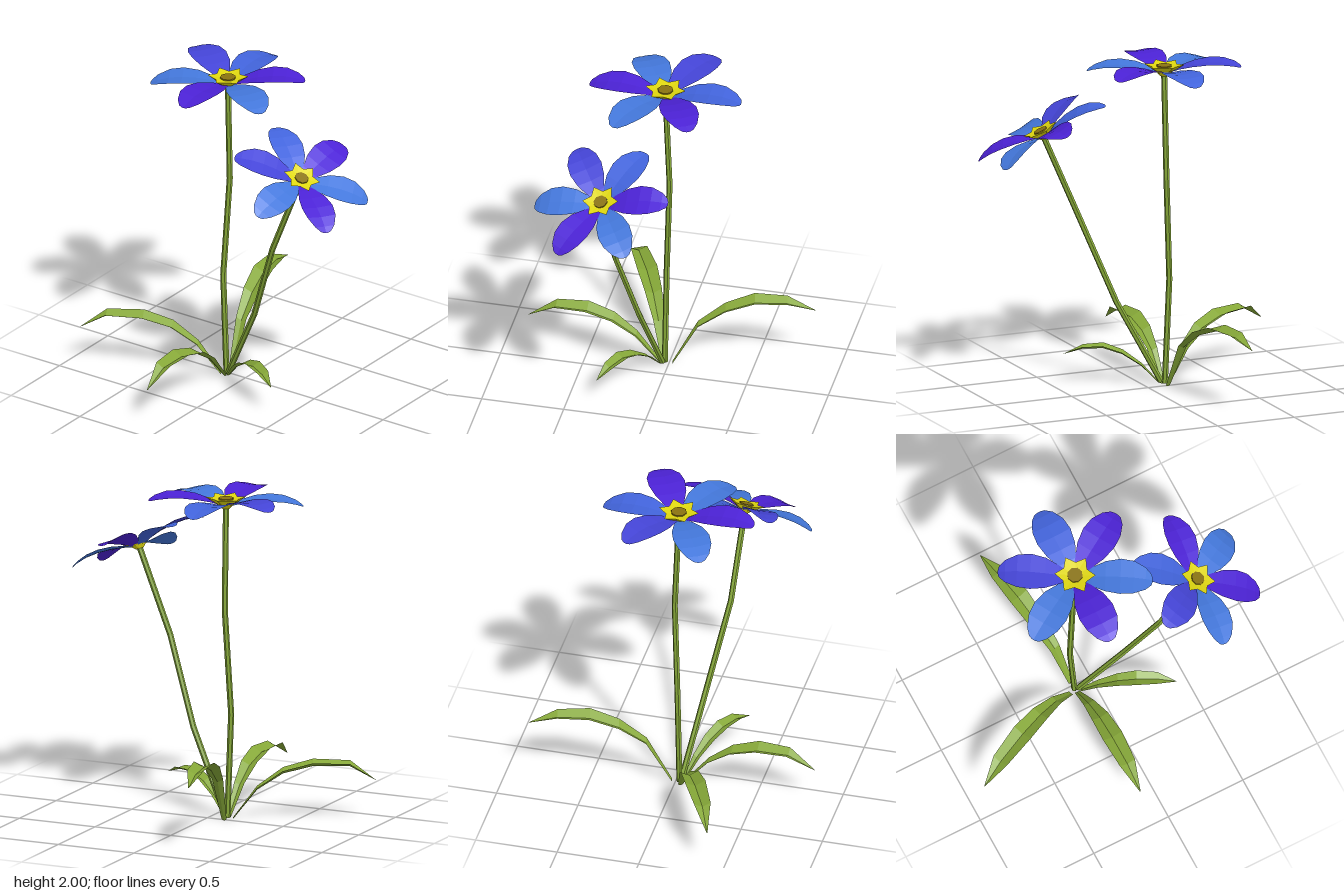
import * as THREE from 'three';

const V = (a) => new THREE.Vector3(...a);

function paint(name, color) {
  const m = new THREE.MeshStandardMaterial({ color, flatShading: true, side: THREE.DoubleSide });
  m.name = name;
  return m;
}

function add(parent, name, geometry, material) {
  const mesh = new THREE.Mesh(geometry, material);
  mesh.name = name;
  parent.add(mesh);
  return mesh;
}

// Surface through rows of points, each row with the same number of points
function loft(rows, closed = false) {
  const n = rows[0].length;
  const index = [];
  for (let i = 0; i < rows.length - 1; i++) {
    for (let j = 0; j < (closed ? n : n - 1); j++) {
      const k = (j + 1) % n;
      const a = i * n + j, b = i * n + k, c = a + n, d = b + n;
      index.push(a, b, c, b, d, c);
    }
  }
  const g = new THREE.BufferGeometry();
  g.setAttribute('position', new THREE.Float32BufferAttribute(rows.flat().flatMap((p) => p.toArray()), 3));
  g.setIndex(index);
  g.computeVertexNormals();
  return g;
}

// Folded blade along a spine; its edges rise above the spine
function blade(points, halfWidths, fold) {
  const spine = points.map(V);
  const run = spine[spine.length - 1].clone().sub(spine[0]).setY(0).normalize();
  const side = new THREE.Vector3(run.z, 0, -run.x);
  return loft(spine.map((p, i) => [-1, 0, 1].map((s) => {
    const q = p.clone().addScaledVector(side, s * halfWidths[i]);
    q.y += Math.abs(s) * fold * halfWidths[i];
    return q;
  })));
}

// Six-sided stem with straight sections
function stem(points) {
  const path = new THREE.CurvePath();
  for (let i = 1; i < points.length; i++) path.add(new THREE.LineCurve3(V(points[i - 1]), V(points[i])));
  return new THREE.TubeGeometry(path, points.length - 1, 0.018, 6);
}

// Ring of twelve points, alternating tips and notches
function starRing(tip, notch, tipY, notchY) {
  return Array.from({ length: 12 }, (_, i) => {
    const a = (i * Math.PI) / 6, r = i % 2 ? notch : tip;
    return new THREE.Vector3(Math.sin(a) * r, i % 2 ? notchY : tipY, Math.cos(a) * r);
  });
}

export function createModel() {
  const green = paint('leaf green', 0x86a838);
  const yellow = paint('crown yellow', 0xe0d810);
  const brown = paint('eye brown', 0x8a7410);
  const purple = paint('purple', 0x4c22d6);
  const sky = paint('light blue', 0x4478dc);
  const blue = paint('blue', 0x4264dc);
  const indigo = paint('indigo', 0x4545d8);

  const model = new THREE.Group();
  model.name = 'floweringPlant';

  // Petal: distance from centre, height, half width
  const petalRows = [
    [0.03, 0.0, 0.025], [0.10, 0.022, 0.06], [0.18, 0.038, 0.095], [0.27, 0.046, 0.111],
    [0.35, 0.042, 0.102], [0.42, 0.026, 0.07], [0.455, 0.012, 0.035], [0.462, 0.009, 0.012],
  ];
  const petalGeometry = blade(petalRows.map(([r, y]) => [0, y, r]), petalRows.map((p) => p[2]), 0.08);
  const petals = [[purple, 0.01], [sky, -0.01], [purple, 0.025], [blue, 0], [indigo, 0.035], [sky, -0.025]];

  function flower(name, position, normal, size, turn) {
    const head = new THREE.Group();
    head.name = name;
    petals.forEach(([material, lift], i) => {
      const petal = add(head, 'petal', petalGeometry, material);
      petal.rotation.order = 'YXZ';
      petal.rotation.set(-lift / 0.46, ((i + turn) * Math.PI) / 3, 0);
    });
    // Star-shaped crown on a small cup
    add(head, 'crown', loft([
      starRing(0.025, 0.025, -0.02, -0.02), starRing(0.05, 0.045, 0.005, 0.005),
      starRing(0.122, 0.08, 0.05, 0.042), starRing(0.045, 0.045, 0.036, 0.036),
    ], true), yellow);
    add(head, 'eye', new THREE.CylinderGeometry(0.047, 0.047, 0.012, 8), brown).position.y = 0.038;
    head.position.set(...position);
    head.quaternion.setFromUnitVectors(new THREE.Vector3(0, 1, 0), V(normal).normalize());
    head.scale.setScalar(size);
    model.add(head);
  }

  flower('tallFlower', [-0.113, 1.93, 0.02], [0, 1, 0], 1, 0);
  flower('leaningFlower', [0.573, 1.56, 0.25], [0.47, 1, 0.16], 0.91, 1);

  // Stems
  add(model, 'tallStem', stem([
    [-0.12, 0.02, 0.025], [-0.148, 0.68, 0.02], [-0.117, 1.28, -0.005], [-0.113, 1.93, 0.02],
  ]), green);
  add(model, 'leaningStem', stem([
    [-0.10, 0.03, 0.035], [0.16, 0.54, 0.125], [0.35, 1.04, 0.22], [0.573, 1.56, 0.25],
  ]), green);

  // Leaves, each given by the spine from base to tip
  const leaves = {
    leftLeaf: [[-0.15, 0.01, 0.04], [-0.28, 0.19, 0.1], [-0.42, 0.29, 0.165],
      [-0.58, 0.335, 0.24], [-0.78, 0.335, 0.335], [-0.92, 0.25, 0.4]],
    backLeaf: [[-0.12, 0.01, -0.02], [-0.15, 0.28, -0.17], [-0.185, 0.39, -0.33],
      [-0.22, 0.45, -0.5], [-0.257, 0.45, -0.69], [-0.29, 0.405, -0.855]],
    frontLeaf: [[-0.115, 0.01, 0.05], [-0.115, 0.18, 0.2], [-0.113, 0.27, 0.34],
      [-0.113, 0.315, 0.5], [-0.112, 0.315, 0.69], [-0.112, 0.235, 0.855]],
    rightLeaf: [[-0.09, 0.02, 0.05], [0, 0.12, 0.1], [0.1, 0.19, 0.155],
      [0.2, 0.225, 0.21], [0.31, 0.22, 0.265], [0.41, 0.185, 0.32]],
  };
  for (const [name, spine] of Object.entries(leaves)) {
    const k = name === 'rightLeaf' ? 0.75 : 1;
    const widths = [0.015, 0.034, 0.053, 0.062, 0.05, 0.002].map((w) => w * k);
    add(model, name, blade(spine, widths, 0.5), green);
  }
  return model;
}
